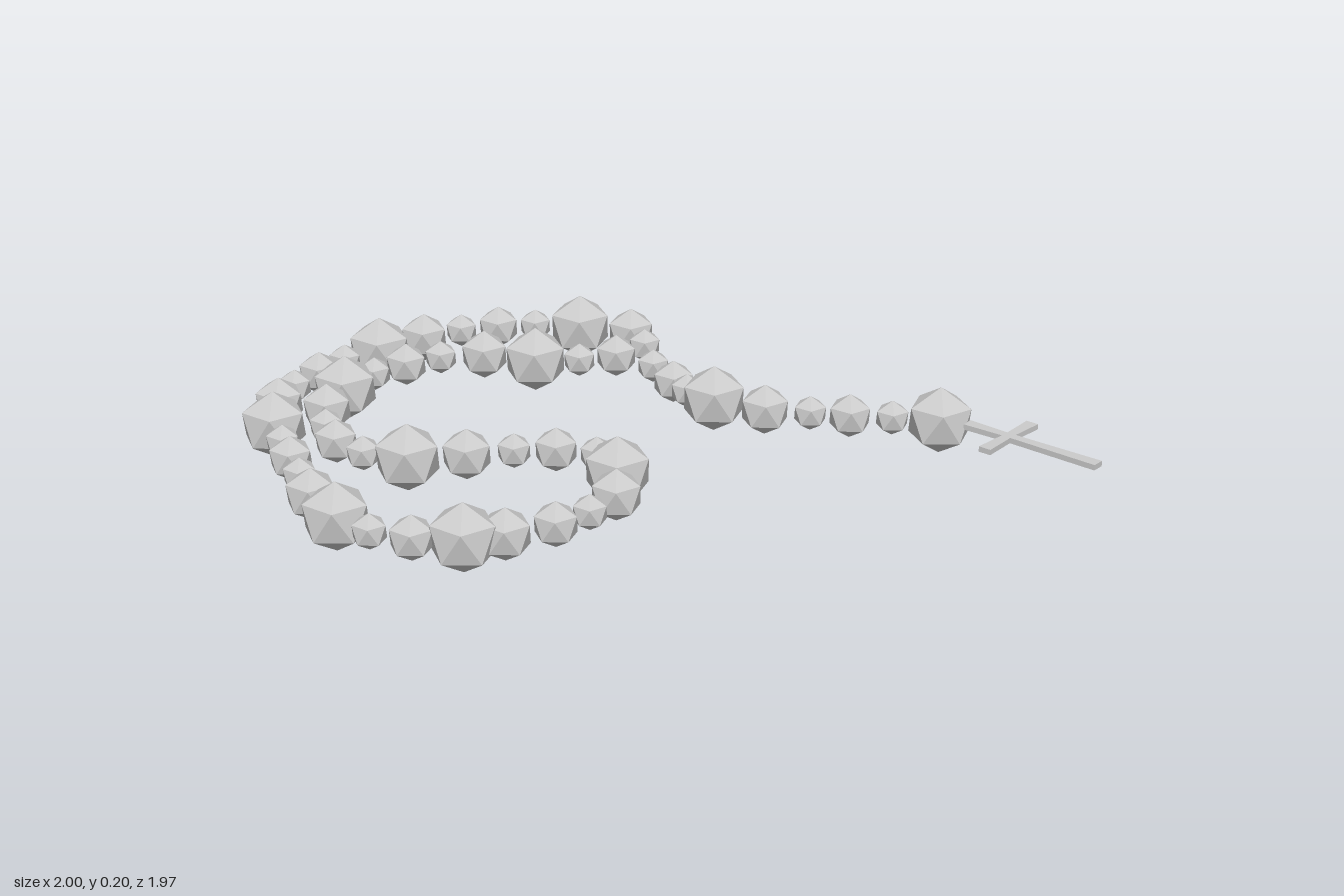
import * as THREE from 'three';

const LEVEL = 0.105;
const RADIUS = { L: 0.1, M: 0.076, m: 0.066, s: 0.052 };

// Bead sizes and [x, z] centres, in stringing order
const pendantSizes = 'LsmsMLsms';
const pendantPath = [
  [0.81, 0.48], [0.71, 0.39], [0.62, 0.31], [0.54, 0.23], [0.45, 0.135],
  [0.38, -0.015], [0.38, -0.145], [0.415, -0.26], [0.42, -0.37],
];
const pendantDip = { 6: 0.085, 7: 0.067, 8: 0.08 };

const loopSizes = 'sMLsmsMLsmsMLsmsMLsmLMmsMLsmsMLsmsMLsmsMLsm';
const loopPath = [
  [0.46, -0.47], [0.49, -0.585], [0.39, -0.715], [0.28, -0.8], [0.18, -0.855],
  [0.07, -0.895], [-0.055, -0.91], [-0.215, -0.905], [-0.35, -0.88], [-0.46, -0.84],
  [-0.57, -0.79], [-0.665, -0.71], [-0.755, -0.575], [-0.795, -0.45], [-0.83, -0.34],
  [-0.865, -0.225], [-0.9, -0.1], [-0.915, 0.06], [-0.89, 0.19], [-0.82, 0.285],
  [-0.71, 0.36], [-0.61, 0.405], [-0.47, 0.43], [-0.355, 0.42], [-0.235, 0.37],
  [-0.14, 0.24], [-0.125, 0.12], [-0.2, 0.03], [-0.3, -0.03], [-0.42, -0.085],
  [-0.565, -0.16], [-0.65, -0.255], [-0.67, -0.37], [-0.64, -0.48], [-0.575, -0.59],
  [-0.455, -0.695], [-0.33, -0.74], [-0.215, -0.75], [-0.1, -0.74], [0.02, -0.685],
  [0.125, -0.565], [0.23, -0.485], [0.34, -0.45],
];

export function createModel() {
  const model = new THREE.Group();
  model.name = 'beadString';
  const material = new THREE.MeshStandardMaterial({ color: 0xcccccc, flatShading: true });

  // Icosahedron standing on one corner
  const beadGeometry = new THREE.IcosahedronGeometry(1, 0);
  beadGeometry.rotateZ(Math.atan(2 / (1 + Math.sqrt(5))));
  beadGeometry.rotateY(-Math.PI / 2);

  function strand(name, beadName, sizes, path, heights = {}) {
    const group = new THREE.Group();
    group.name = name;
    path.forEach(([x, z], i) => {
      const bead = new THREE.Mesh(beadGeometry, material);
      bead.name = `${beadName}${i + 1}`;
      bead.position.set(x, heights[i] ?? LEVEL, z);
      bead.scale.setScalar(RADIUS[sizes[i]]);
      group.add(bead);
    });
    model.add(group);
  }
  strand('pendantStrand', 'pendantBead', pendantSizes, pendantPath, pendantDip);
  strand('loopStrand', 'loopBead', loopSizes, loopPath);

  // Thin flat cross with slightly flared arms; +y of the shape points to the beads
  const c = 0.014, e = 0.019, arm = 0.12, up = 0.14, down = 0.29;
  const outline = [
    [c, c], [e, up], [-e, up], [-c, c], [-arm, e], [-arm, -e],
    [-c, -c], [-e, -down], [e, -down], [c, -c], [arm, -e], [arm, e],
  ].map(([x, y]) => new THREE.Vector2(x, y));
  const thickness = 0.016;
  const crossGeometry = new THREE.ExtrudeGeometry(new THREE.Shape(outline), {
    depth: thickness, bevelEnabled: false,
  });
  crossGeometry.translate(0, 0, -thickness / 2);
  crossGeometry.rotateX(-Math.PI / 2);
  crossGeometry.rotateY(Math.atan2(19, 77));
  const cross = new THREE.Mesh(crossGeometry, material);
  cross.name = 'cross';
  cross.position.set(0.88, LEVEL + 0.002, 0.69);
  model.add(cross);

  return model;
}
